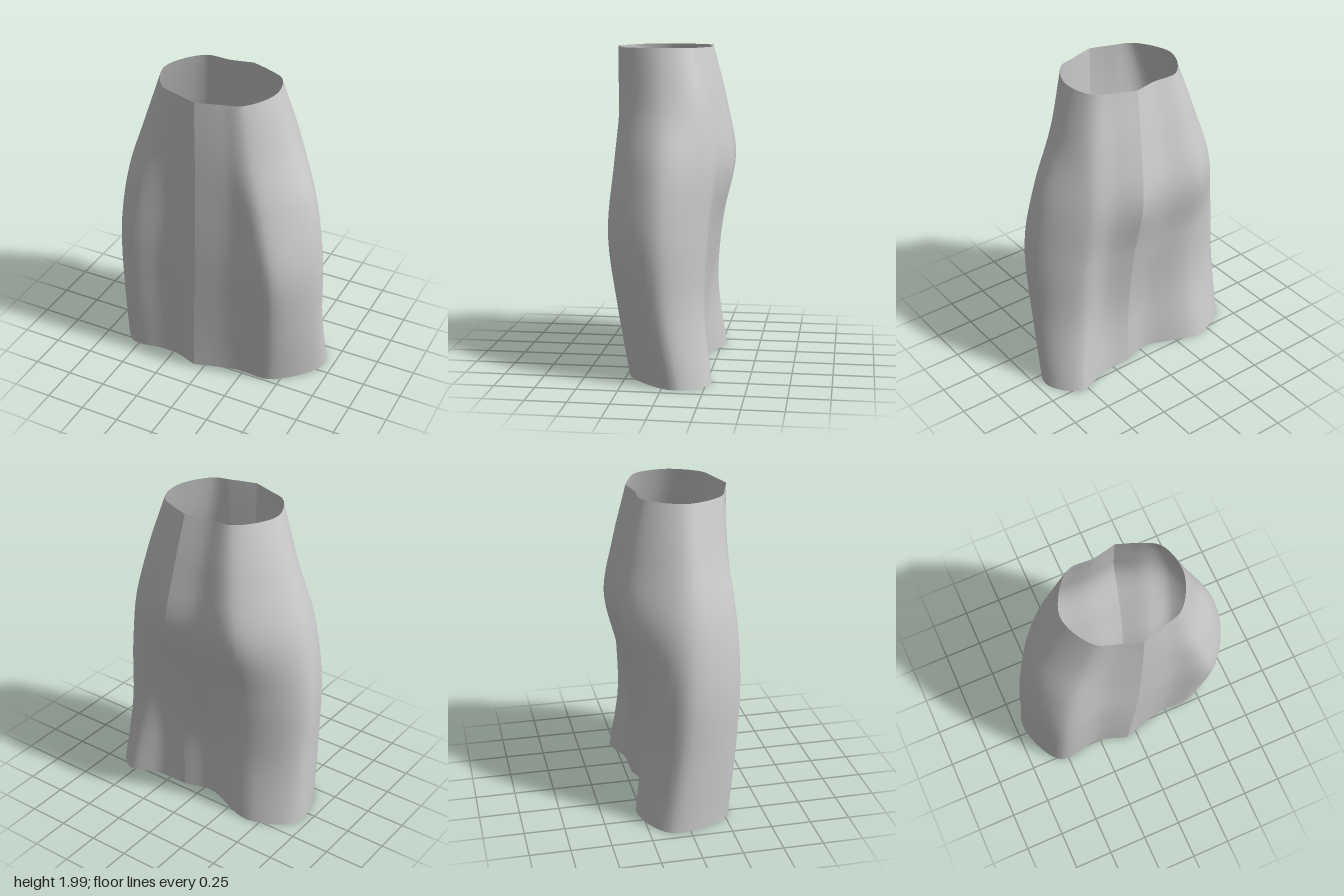
import * as THREE from 'three';

// Horizontal sections of the skirt: height, then x,z pairs running
// front seam -> left side (+x) -> back seam (7th pair) -> right side (-x).
const sections = [
  { y: 0.01, xz: [-0.07, 0.31, 0.2, 0.235, 0.45, 0.22, 0.695, -0.08, 0.55, -0.28, 0.33, -0.215,
    0.13, -0.21, -0.05, -0.165, -0.42, -0.28, -0.695, -0.11, -0.56, 0.265, -0.27, 0.25] },
  { y: 0.45, xz: [-0.05, 0.335, 0.22, 0.285, 0.48, 0.29, 0.685, 0, 0.5, -0.225, 0.3, -0.19,
    0.13, -0.22, -0.05, -0.18, -0.38, -0.225, -0.685, -0.05, -0.55, 0.31, -0.27, 0.29] },
  { y: 0.9, xz: [-0.025, 0.355, 0.22, 0.32, 0.49, 0.345, 0.68, 0.03, 0.48, -0.235, 0.3, -0.24,
    0.135, -0.285, -0.06, -0.26, -0.38, -0.25, -0.68, -0.01, -0.53, 0.335, -0.26, 0.325] },
  { y: 1.3, xz: [-0.015, 0.362, 0.2, 0.325, 0.41, 0.32, 0.61, 0.04, 0.45, -0.25, 0.28, -0.305,
    0.135, -0.37, -0.06, -0.335, -0.36, -0.325, -0.62, 0, -0.47, 0.32, -0.22, 0.325] },
  { y: 1.65, xz: [-0.01, 0.368, 0.16, 0.33, 0.32, 0.29, 0.475, 0.05, 0.4, -0.2, 0.25, -0.265,
    0.11, -0.315, -0.05, -0.285, -0.29, -0.275, -0.505, 0.02, -0.37, 0.28, -0.18, 0.33] },
  { y: 2, xz: [-0.01, 0.37, 0.14, 0.325, 0.26, 0.28, 0.365, 0.08, 0.32, -0.12, 0.2, -0.19,
    0.08, -0.235, -0.06, -0.205, -0.23, -0.195, -0.375, 0.04, -0.27, 0.27, -0.14, 0.325] },
];
const POINTS = 12, ROWS = 40, COLS = 48;

// Vertical fold line through the i-th point of every section
function foldLine(i) {
  const k = (i % POINTS) * 2;
  return new THREE.CatmullRomCurve3(
    sections.map(s => new THREE.Vector3(s.xz[k], s.y, s.xz[k + 1])));
}

// Cloth panel lofted across seven neighbouring fold lines, from seam to seam
function panelGeometry(first) {
  const folds = Array.from({ length: 7 }, (_, i) => foldLine(first + i));
  const positions = [], indices = [];
  for (let r = 0; r <= ROWS; r++) {
    const row = new THREE.CatmullRomCurve3(folds.map(f => f.getPoint(r / ROWS)));
    for (let c = 0; c <= COLS; c++) {
      const p = row.getPoint(c / COLS);
      positions.push(p.x, p.y, p.z);
      if (r < ROWS && c < COLS) {
        const a = r * (COLS + 1) + c, b = a + COLS + 1;
        indices.push(a, a + 1, b + 1, a, b + 1, b);
      }
    }
  }
  const geometry = new THREE.BufferGeometry();
  geometry.setAttribute('position', new THREE.Float32BufferAttribute(positions, 3));
  geometry.setIndex(indices);
  geometry.computeVertexNormals();
  return geometry;
}

export function createModel() {
  const skirt = new THREE.Group();
  skirt.name = 'skirt';
  const cloth = new THREE.MeshStandardMaterial({ color: 0xcccccc, side: THREE.DoubleSide });

  // Two halves, so the front and back seams stay sharp
  [['leftPanel', 0], ['rightPanel', 6]].forEach(([name, first]) => {
    const panel = new THREE.Mesh(panelGeometry(first), cloth);
    panel.name = name;
    skirt.add(panel);
  });
  return skirt;
}
